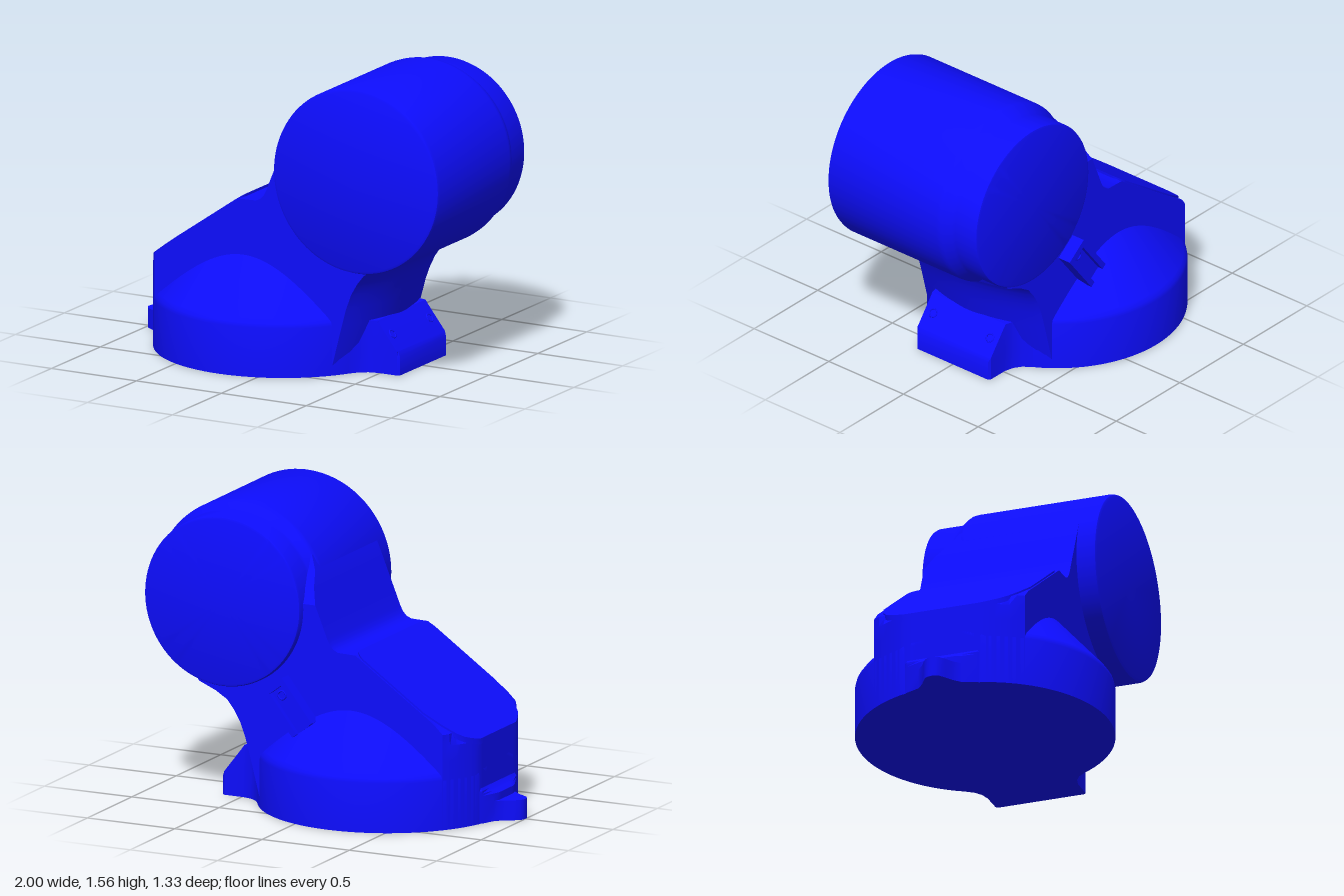
import * as THREE from 'three';
import { toCreasedNormals } from 'three/addons/utils/BufferGeometryUtils.js';

const material = new THREE.MeshStandardMaterial({ color: 0x0d0dff });
const BASE_X = -0.21, BASE_R = 0.665; // centre and radius of the round foot
const SIDE = 0.41;                    // half width of the body

function add(parent, name, geometry, crease = 0.6) {
  const mesh = new THREE.Mesh(toCreasedNormals(geometry, crease), material);
  mesh.name = name;
  parent.add(mesh);
  return mesh;
}

// Joins closed plan rings ([x, z] lists) stacked at heights ys, with both ends capped.
function loft(ys, rings) {
  const pos = [], index = [], n = rings[0].length;
  rings.forEach((ring, k) => ring.forEach(([x, z]) => pos.push(x, ys[k], z)));
  for (let k = 0; k < rings.length - 1; k++) {
    for (let i = 0; i < n; i++) {
      const a = k * n + i, b = k * n + (i + 1) % n;
      index.push(a, b, b + n, a, b + n, a + n);
    }
  }
  for (const k of [0, rings.length - 1]) {
    const c = pos.length / 3;
    const mid = j => rings[k].reduce((s, p) => s + p[j], 0) / n;
    pos.push(mid(0), ys[k], mid(1));
    for (let i = 0; i < n; i++) {
      const a = k * n + i, b = k * n + (i + 1) % n;
      if (k) index.push(c, a, b); else index.push(c, b, a);
    }
  }
  const g = new THREE.BufferGeometry();
  g.setAttribute('position', new THREE.Float32BufferAttribute(pos, 3));
  g.setIndex(index);
  return g;
}

// Completes half an outline with its mirror image in z.
const mirrored = half => [...half, ...half.map(([x, z]) => [x, -z]).reverse()];

const lathe = (pts, segments) =>
  new THREE.LatheGeometry(pts.map(p => new THREE.Vector2(...p)), segments);

const circleLeft = z => BASE_X - Math.sqrt(BASE_R ** 2 - z * z);

export function createModel() {
  const model = new THREE.Group();
  model.name = 'housing';

  // Round foot with conical shoulder, cut flat on one side
  const foot = lathe([[0, 0], [BASE_R, 0], [BASE_R, 0.26], [0.66, 0.282], [0.645, 0.303],
    [0.41, 0.57], [0.385, 0.597], [0, 0.597]], 96);
  const fp = foot.attributes.position;
  for (let i = 0; i < fp.count; i++) fp.setX(i, Math.max(fp.getX(i) + BASE_X, -0.84));
  add(model, 'foot', foot);

  // Body and neck: height, left x, right x, bow of right face, back z
  const rows = [
    [0, -0.84, 0.40, 0.10, -SIDE], [0.27, -0.84, 0.49, 0.12, -SIDE],
    [0.36, -0.84, 0.515, 0.12, -SIDE], [0.44, -0.84, 0.545, 0.12, -SIDE],
    [0.50, -0.754, 0.57, 0.11, -SIDE], [0.55, -0.682, 0.60, 0.10, -SIDE],
    [0.59, -0.625, 0.645, 0.08, -SIDE], [0.63, -0.567, 0.72, 0.06, -SIDE],
    [0.80, -0.323, 0.80, 0.03, -SIDE], [0.862, -0.234, 0.80, 0, -SIDE],
    [0.865, -0.135, 0.80, 0, -SIDE], [0.878, -0.108, 0.80, 0, -SIDE],
    [0.90, -0.088, 0.80, 0, -SIDE], [0.93, -0.073, 0.80, 0, -SIDE],
    [1.00, -0.045, 0.80, 0, -SIDE], [1.10, -0.004, 0.80, 0, -SIDE],
    [1.18, 0.028, 0.80, 0, -0.36], [1.25, 0.057, 0.80, 0, -0.29],
    [1.32, 0.096, 0.80, 0, -0.25],
  ];
  const N = 24;
  const bodyRings = rows.map(([, left, right, bow, back]) => {
    const ring = [];
    for (let i = 0; i <= N; i++) {
      const z = THREE.MathUtils.lerp(SIDE, back, i / N);
      ring.push([right - bow * (z / SIDE) ** 2, z]);
    }
    for (let i = 0; i <= N; i++) {
      const z = THREE.MathUtils.lerp(back, SIDE, i / N);
      ring.push([Math.max(left, circleLeft(z)), z]);
    }
    return ring;
  });
  add(model, 'body', loft(rows.map(r => r[0]), bodyRings), 0.5);

  // Large drum lying along z, stepped down at the back
  const drum = lathe([[0, -0.45], [0.43, -0.45], [0.441, -0.446], [0.446, -0.435],
    [0.446, -0.31], [0.451, -0.29], [0.478, -0.25], [0.485, -0.235], [0.487, -0.215],
    [0.487, 0.495], [0.482, 0.509], [0.47, 0.515], [0, 0.515]], 96);
  drum.rotateX(Math.PI / 2);
  add(model, 'drum', drum).position.set(0.51, 1.07, 0);

  // Sloping cover plate: plan outline, sheared up the slope
  const w = 0.4, r = 0.06, x1 = -0.228;
  const plan = new THREE.Shape();
  plan.moveTo(x1 - r, -w);
  plan.quadraticCurveTo(x1, -w, x1, -w + r);
  plan.lineTo(x1, w - r);
  plan.quadraticCurveTo(x1, w, x1 - r, w);
  for (let i = 0; i <= 24; i++) {
    const z = w - 2 * w * i / 24;
    const corner = 0.12 * Math.max(0, Math.abs(z) - 0.3) ** 2 / 0.01;
    plan.lineTo(Math.max(-0.843, circleLeft(z) + corner), z);
  }
  const plate = new THREE.ExtrudeGeometry(plan, { depth: 0.03, bevelEnabled: false });
  plate.rotateX(-Math.PI / 2);
  const pp = plate.attributes.position;
  for (let i = 0; i < pp.count; i++) {
    pp.setY(i, pp.getY(i) - 0.02 + 0.44 + (pp.getX(i) + 0.84) * 0.697);
  }
  add(model, 'coverPlate', plate);

  // Flared lug with a sloping top
  const lugHalf = [[0, 0.5], [0.28, 0.44], [0.367, 0.33], [0.4, 0.285], [0.44, 0.258],
    [0.49, 0.246], [0.6, 0.245], [0.612, 0.235]];
  const lugRows = [[0, 0.612], [0.1, 0.612], [0.125, 0.6], [0.25, 0.503], [0.275, 0.485]];
  add(model, 'lug', loft(lugRows.map(q => q[0]),
    lugRows.map(([, max]) => mirrored(lugHalf).map(([x, z]) => [Math.min(x, max), z]))), 0.5);

  // Screw hole rims on the lug's slope
  for (const z of [-0.19, 0.19]) {
    const rim = add(model, 'lugHoleRim', new THREE.TorusGeometry(0.022, 0.004, 8, 24), 1.5);
    rim.position.set(0.542, 0.2, z);
    rim.quaternion.setFromUnitVectors(new THREE.Vector3(0, 0, 1),
      new THREE.Vector3(0.78, 0.62, 0).normalize());
  }

  // Pointed locating tab with a small step above it
  const tabHalf = [[-0.8, -0.25], [-0.85, -0.19], [-0.88, -0.115], [-0.92, -0.08],
    [-0.955, -0.06], [-0.985, -0.04], [-0.997, -0.02], [-1, 0]];
  const tabRows = [[0, -1], [0.105, -1], [0.105, -0.89], [0.145, -0.89], [0.158, -0.87],
    [0.17, -0.85], [0.19, -0.835]];
  add(model, 'locatingTab', loft(tabRows.map(q => q[0]),
    tabRows.map(([, min]) => mirrored(tabHalf).map(([x, z]) => [Math.max(x, min), z]))), 0.5);

  // Channelled boss on the back, pointing at the drum's axis
  const boss = new THREE.Group();
  boss.name = 'backBoss';
  boss.position.set(0.12, 0.564, 0);
  boss.rotation.z = -0.657;
  const block = (name, sx, sy, x, y, face) => {
    const depth = face - 0.35;
    add(boss, name, new THREE.BoxGeometry(sx, sy, depth)).position.set(x, y, -face + depth / 2);
  };
  block('bossFloor', 0.1, 0.28, 0, 0, 0.455);
  for (const s of [-1, 1]) block('bossRail', 0.03, 0.28, s * 0.055, 0, 0.485);
  block('bossEnd', 0.1, 0.03, 0, 0.125, 0.485);
  add(boss, 'bossHoleRim', new THREE.TorusGeometry(0.022, 0.005, 8, 24), 1.5)
    .position.set(0, 0.07, -0.456);
  model.add(boss);

  return model;
}
